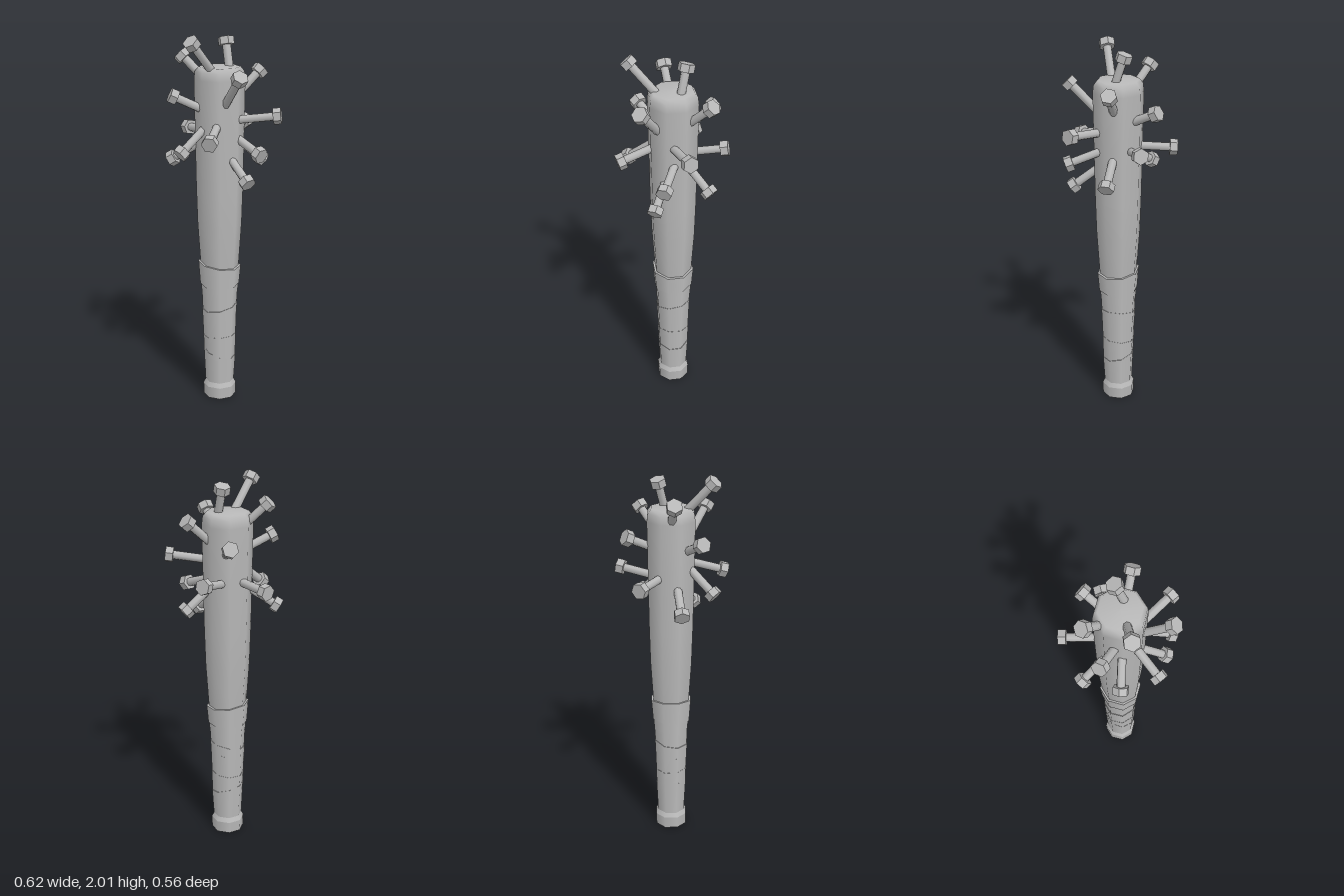
import * as THREE from 'three';

const grey = new THREE.MeshStandardMaterial({ color: 0xb8b8b8 });
grey.name = 'plain grey';
const SIDES = 8;

function add(parent, name, geometry) {
  const mesh = new THREE.Mesh(geometry, grey);
  mesh.name = name;
  parent.add(mesh);
  return mesh;
}

// faceted version of a smooth geometry
function faceted(geometry) {
  const g = geometry.toNonIndexed();
  g.computeVertexNormals();
  return g;
}

// one wrap of grip tape: a frustum whose top and bottom rims are tilted separately
function wrapGeometry(y0, y1, r0, r1, low, high) {
  const g = new THREE.CylinderGeometry(r1, r0, 1, SIDES);
  const p = g.attributes.position;
  for (let i = 0; i < p.count; i++) {
    const top = p.getY(i) > 0;
    const tilt = top ? high : low;
    p.setY(i, (top ? y1 : y0) + p.getX(i) * tilt[0] + p.getZ(i) * tilt[1]);
  }
  return g;
}

// nail running from base (on the wood) to the middle of its hexagonal head
function makeNail(base, head) {
  const a = new THREE.Vector3(...base), b = new THREE.Vector3(...head);
  const dir = b.clone().sub(a);
  const length = dir.length(), sunk = 0.04;
  const nail = new THREE.Group();
  nail.name = 'nail';
  const shaft = new THREE.CylinderGeometry(0.022, 0.022, length + sunk, 8);
  add(nail, 'nailShaft', shaft.translate(0, (length - sunk) / 2, 0));
  const cap = faceted(new THREE.CylinderGeometry(0.042, 0.042, 0.04, 6));
  add(nail, 'nailHead', cap.translate(0, length, 0));
  nail.position.copy(a);
  nail.quaternion.setFromUnitVectors(new THREE.Vector3(0, 1, 0), dir.normalize());
  return nail;
}

export function createModel() {
  const model = new THREE.Group();
  model.name = 'nailedBat';

  // wooden barrel with a rounded top
  const profile = [
    [0.07, 0.07], [0.075, 0.25], [0.085, 0.5], [0.102, 0.77], [0.117, 1.0],
    [0.123, 1.2], [0.128, 1.5], [0.132, 1.77], [0.127, 1.81], [0.108, 1.833], [0, 1.838],
  ].map(([r, y]) => new THREE.Vector2(r, y));
  add(model, 'barrel', new THREE.LatheGeometry(profile, SIDES));

  // knob at the foot
  add(model, 'knob', new THREE.CylinderGeometry(0.09, 0.088, 0.065, SIDES).translate(0, 0.0325, 0));
  add(model, 'knobShoulder', new THREE.CylinderGeometry(0.077, 0.09, 0.025, SIDES).translate(0, 0.0775, 0));

  // grip tape: y0, y1, lower radius, upper radius, lower tilt, upper tilt
  const wraps = [
    [0.09, 0.26, 0.078, 0.087, [0, 0], [-0.3, 0.1]],
    [0.24, 0.36, 0.085, 0.089, [-0.2, -0.15], [0.1, 0]],
    [0.34, 0.47, 0.087, 0.092, [0.1, 0], [0.2, -0.25]],
    [0.45, 0.53, 0.091, 0.095, [0.2, -0.25], [0.1, -0.2]],
    [0.50, 0.63, 0.091, 0.097, [0.1, -0.2], [0, 0.1]],
    [0.61, 0.69, 0.097, 0.103, [0.05, 0.1], [0, 0]],
    [0.66, 0.775, 0.105, 0.114, [-0.05, -0.05], [-0.12, 0.05]],
  ];
  for (const w of wraps) add(model, 'gripTape', wrapGeometry(...w));

  // nails: base point, head centre
  const nails = [
    [[-0.045, 1.485, -0.115], [-0.06, 1.51, -0.255]],
    [[-0.07, 1.64, -0.095], [-0.155, 1.695, -0.172]],
    [[-0.12, 1.485, -0.02], [-0.28, 1.475, -0.048]],
    [[-0.1, 1.79, 0.045], [-0.18, 1.88, 0.09]],
    [[-0.1, 1.42, 0.08], [-0.208, 1.345, 0.142]],
    [[-0.045, 1.63, 0.11], [-0.122, 1.69, 0.212]],
    [[-0.01, 1.51, 0.125], [-0.032, 1.415, 0.242]],
    [[0.02, 1.82, 0.08], [0.02, 1.965, 0.215]],
    [[0.075, 1.535, 0.1], [0.155, 1.49, 0.228]],
    [[0.11, 1.67, 0.06], [0.232, 1.8, 0.1]],
    [[0.12, 1.35, 0.02], [0.228, 1.27, 0.036]],
    [[0.122, 1.46, -0.03], [0.26, 1.41, -0.02]],
    [[0.12, 1.57, -0.04], [0.268, 1.592, -0.146]],
    [[0.045, 1.7, -0.107], [0.085, 1.8, -0.208]],
    [[0.05, 1.43, -0.105], [0.1, 1.34, -0.21]],
    [[0.025, 1.82, -0.045], [-0.015, 1.955, -0.063]],
  ];
  for (const [base, head] of nails) model.add(makeNail(base, head));

  return model;
}
